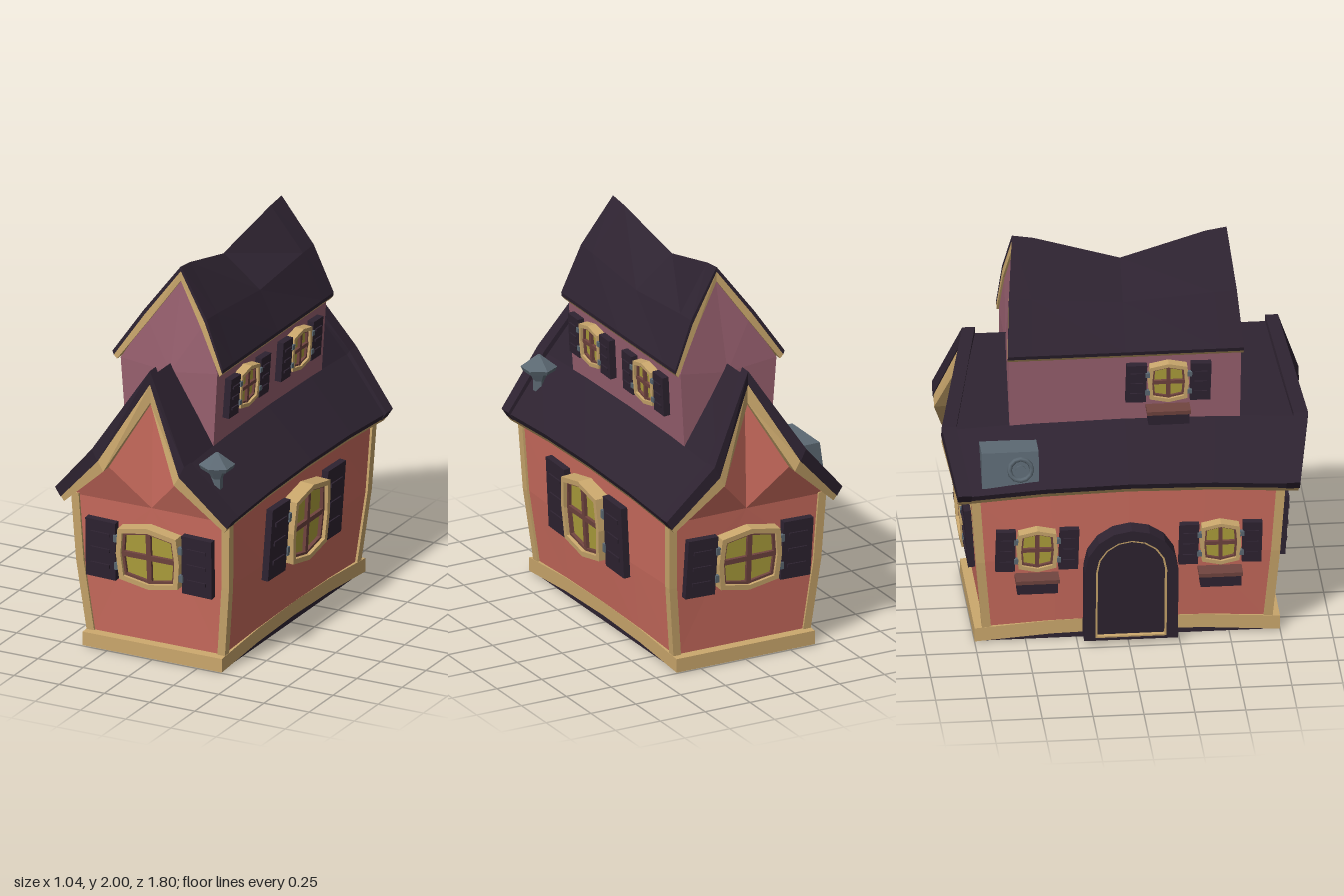
import * as THREE from 'three';

const mat = (name, color) => Object.assign(new THREE.MeshStandardMaterial({ color }), { name });
const M = {
  coral: mat('coral wall', 0xcb6c5e), mauve: mat('mauve wall', 0x98606f),
  dark: mat('dark wood', 0x2e2331), tan: mat('tan trim', 0xcaa76c),
  yellow: mat('yellow glass', 0xaea03c), brown: mat('brown wood', 0x70443f),
  grey: mat('grey metal', 0x5c6973),
};

function mesh(parent, name, geo, material, x = 0, y = 0, z = 0) {
  const m = new THREE.Mesh(geo, material);
  m.name = name;
  m.position.set(x, y, z);
  parent.add(m);
  return m;
}
const box = (p, name, m, w, h, d, x, y, z) => mesh(p, name, new THREE.BoxGeometry(w, h, d), m, x, y, z);
function facet(geo) {
  const g = geo.toNonIndexed();
  g.computeVertexNormals();
  return g;
}

// Faceted skin through matching cross-sections; ends close as a strip, or as a fan to given centres
function loft(sections, centres) {
  const v = [], n = sections[0].length, last = sections.length - 1;
  const tri = (a, b, c) => v.push(...a, ...b, ...c);
  const quad = (a, b, c, d) => { tri(a, b, c); tri(a, c, d); };
  for (let i = 0; i < last; i++) for (let j = 0; j < n; j++) {
    const k = (j + 1) % n, s = sections[i], t = sections[i + 1];
    quad(s[j], s[k], t[k], t[j]);
  }
  const a = sections[0], b = sections[last];
  if (centres) {
    for (let j = 0; j < n; j++) {
      const k = (j + 1) % n;
      tri(centres[0], a[k], a[j]);
      tri(centres[1], b[j], b[k]);
    }
  } else {
    for (let j = 0; j < n / 2 - 1; j++) {
      quad(b[j], b[j + 1], b[n - 2 - j], b[n - 1 - j]);
      quad(a[j + 1], a[j], a[n - 1 - j], a[n - 2 - j]);
    }
  }
  const g = new THREE.BufferGeometry();
  g.setAttribute('position', new THREE.Float32BufferAttribute(v, 3));
  g.computeVertexNormals();
  return g;
}

// Profile points are [x, y, end z, lift at middle, x shift at middle]; steps are [t along z, weight]
const sweep = (profile, steps) => steps.map(([t, w]) =>
  profile.map(([x, y, z, lift = 0, dx = 0]) => [x + dx * w, y + lift * w, z * t]));
const mirror = (half, apex) => [...half, ...(apex ? [apex] : []),
  ...half.map(([x, y, z, l = 0, d = 0]) => [-x, y, z, l, -d]).reverse()];
const shell = (outer, inner, steps) => loft(sweep([...outer, ...[...inner].reverse()], steps));
const arc = [-1, -0.5, 0, 0.5, 1].map(t => [t, 1 - t * t]);
const sag = [[-1, 0], [-0.8, 0.12], [0, 1], [0.8, 0.12], [1, 0]];

// Barrel-shaped outline for the windows
function barrel(w, h, Type = THREE.Shape) {
  const x = w / 2, y = h / 2;
  return new Type([[0, -y], [x * 0.92, -y * 0.82], [x, 0], [x * 0.92, y * 0.82],
    [0, y], [-x * 0.92, y * 0.82], [-x, 0], [-x * 0.92, -y * 0.82]].map(p => new THREE.Vector2(...p)));
}
// Round-topped outline for the door
function arch(w, h, y0, Type = THREE.Shape) {
  const pts = [new THREE.Vector2(-w / 2, y0), new THREE.Vector2(w / 2, y0)], s = h - w / 2;
  for (let i = 0; i <= 8; i++) {
    const a = Math.PI * i / 8;
    pts.push(new THREE.Vector2(Math.cos(a) * w / 2, s + Math.sin(a) * w / 2));
  }
  return new Type(pts);
}
const extrude = (shape, depth) => new THREE.ExtrudeGeometry(shape, { depth, bevelEnabled: false });
function ring(make, outer, inner, depth) {
  const s = make(...outer);
  s.holes.push(make(...inner, THREE.Path));
  return extrude(s, depth);
}
function place(parent, name, x, y, z, yaw, lean) {
  const g = new THREE.Group();
  g.name = name;
  g.position.set(x, y, z);
  g.rotation.set(lean, yaw, 0, 'YXZ');
  parent.add(g);
  return g;
}

function addWindow(parent, name, [x, y, z, yaw, lean], { w, h, d, sw, sh, planter }) {
  const g = place(parent, name, x, y, z, yaw, lean), t = w > 0.3 ? 0.026 : 0.019;
  mesh(g, 'windowFrame', ring(barrel, [w, h], [w - 2 * t, h - 2 * t], d), M.tan);
  mesh(g, 'innerFrame', ring(barrel, [w - 2 * t, h - 2 * t], [w - 3 * t, h - 3 * t], d * 0.75), M.brown);
  mesh(g, 'glass', extrude(barrel(w - 2 * t, h - 2 * t), d * 0.5), M.yellow);
  box(g, 'mullion', M.brown, t, h - 2 * t, 0.02, 0, 0, d * 0.6);
  box(g, 'crossBar', M.brown, w - 2 * t, t, 0.02, 0, 0, d * 0.6);
  for (const s of [-1, 1]) {
    const shutter = place(g, 'shutter', s * (w / 2 + sw / 2 + 0.008), 0, 0.03, 0, 0);
    shutter.rotation.z = -0.025;
    box(shutter, 'shutterBoard', M.dark, sw, sh, 0.035, 0, 0, 0);
    for (const k of [-1, 0, 1]) box(shutter, 'slat', M.dark, sw * 0.62, sh * 0.06, 0.014, 0, k * sh * 0.27, 0.018);
    for (const k of [-1, 1]) box(g, 'hinge', M.grey, 0.022, sh * 0.12, 0.02, s * (w / 2 + 0.004), k * sh * 0.24, 0.045);
  }
  if (planter) {
    const py = -h / 2 - 0.08;
    box(g, 'flowerBox', M.dark, 0.2, 0.06, 0.075, 0, py, 0.04);
    box(g, 'flowerBoxRim', M.brown, 0.215, 0.02, 0.085, 0, py + 0.036, 0.04);
  }
}

export function createModel() {
  const house = new THREE.Group();
  house.name = 'house';

  // Ground floor walls and base
  const wall = mirror([[0.365, 0.04, 0.70, 0.03, 0.015], [0.41, 0.45, 0.735, 0, 0.015],
    [0.425, 0.80, 0.76, 0.04, 0.015], [0.205, 1.02, 0.84, 0.03]], [0, 1.385, 0.74]);
  mesh(house, 'lowerWalls', loft(sweep(wall, arc), [[0, 0.8, -0.755], [0, 0.8, 0.755]]), M.coral);
  mesh(house, 'baseTrim', loft(sweep(mirror([[0.385, 0.004, 0.75, 0.035], [0.385, 0.075, 0.75, 0.035]]), arc)), M.tan);
  box(house, 'floor', M.dark, 0.74, 0.03, 1.46, 0, 0.015, 0);

  // Corner posts follow the leaning walls
  for (const sx of [-1, 1]) for (const sz of [-1, 1]) {
    const post = [[0.36, 0.06, 0.69], [0.402, 0.45, 0.725], [0.417, 0.81, 0.75]].map(([x, y, z]) =>
      [[-1, 1], [1, 1], [1, -1], [-1, -1]].map(([a, b]) => [sx * x + a * 0.021, y, sz * z + b * 0.022]));
    mesh(house, 'cornerPost', loft(post), M.tan);
  }

  // Main roof: dark skin, tan underlayer and raised end rims
  const top = mirror([[0.475, 0.835, 0.835, 0.04, 0.01], [0.24, 1.09, 0.895, 0.03]], [0, 1.495, 0.77]);
  const mid = mirror([[0.46, 0.805, 0.835, 0.04, 0.01], [0.225, 1.055, 0.895, 0.03]], [0, 1.46, 0.77]);
  const low = mirror([[0.443, 0.782, 0.835, 0.04, 0.01], [0.195, 1.005, 0.895, 0.03]], [0, 1.36, 0.77]);
  mesh(house, 'mainRoof', shell(top, mid, arc), M.dark);
  mesh(house, 'mainRoofTrim', shell(mid, low, arc), M.tan);
  const rim = mirror([[0.49, 0.85, 0.84], [0.255, 1.115, 0.9]], [0, 1.53, 0.775]);
  const rimIn = mid.map(([x, y, z]) => [x, y, z + 0.005]);
  mesh(house, 'frontRoofRim', shell(rim, rimIn, [[0.92, 0], [1, 0]]), M.dark);
  mesh(house, 'backRoofRim', shell(rim, rimIn, [[-1, 0], [-0.92, 0]]), M.dark);

  // Upper storey with its sagging, slightly crooked roof
  const upper = [[0.235, 1.0, 0.565], [0.265, 1.49, 0.57], [0.175, 1.72, 0.55, -0.04], [0.04, 1.94, 0.515, -0.125, -0.04],
    [-0.13, 1.705, 0.55, -0.04], [-0.27, 1.48, 0.57], [-0.235, 1.0, 0.565]];
  mesh(house, 'upperWalls', loft(sweep(upper, sag), [[0, 1.45, -0.565], [0, 1.45, 0.565]]), M.mauve);
  const roofLine = pts => pts.map(([x, y], i) => [x, y, [0.58, 0.56, 0.527, 0.56, 0.58][i],
    [0, -0.04, -0.125, -0.04, 0][i], i === 2 ? -0.04 : 0]);
  const uTop = roofLine([[0.30, 1.52], [0.2, 1.76], [0.04, 2.0], [-0.15, 1.745], [-0.31, 1.51]]);
  const uMid = roofLine([[0.297, 1.5], [0.19, 1.742], [0.04, 1.975], [-0.141, 1.728], [-0.303, 1.49]]);
  const uLow = roofLine([[0.282, 1.482], [0.168, 1.712], [0.04, 1.925], [-0.12, 1.698], [-0.285, 1.472]]);
  mesh(house, 'upperRoof', shell(uTop, uMid, sag), M.dark);
  mesh(house, 'upperRoofTrim', shell(uMid, uLow, sag), M.tan);

  // Windows
  const gable = { w: 0.35, h: 0.33, d: 0.06, sw: 0.165, sh: 0.31 };
  addWindow(house, 'frontWindow', [0, 0.55, 0.742, 0, 0.07], gable);
  addWindow(house, 'backWindow', [0, 0.55, -0.742, Math.PI, 0.07], gable);
  addWindow(house, 'leftWindow', [0.425, 0.565, 0.025, Math.PI / 2, 0.06],
    { w: 0.38, h: 0.4, d: 0.075, sw: 0.185, sh: 0.375 });
  for (const z of [-0.45, 0.45])
    addWindow(house, 'rightWindow', [-0.425, 0.53, z, -Math.PI / 2, 0.06],
      { w: 0.2, h: 0.23, d: 0.055, sw: 0.095, sh: 0.22, planter: true });
  const small = { w: 0.2, h: 0.215, d: 0.05, sw: 0.1, sh: 0.205 };
  for (const z of [0.295, -0.25])
    addWindow(house, 'upperLeftWindow', [0.253, 1.34, z, Math.PI / 2, 0.06], small);
  addWindow(house, 'upperRightWindow', [-0.258, 1.335, 0.21, -Math.PI / 2, 0.07], { ...small, planter: true });

  // Arched door on the right side
  const door = place(house, 'door', -0.385, 0.03, 0.01, -Math.PI / 2, 0.09);
  mesh(door, 'doorFrame', ring(arch, [0.46, 0.62, 0], [0.35, 0.565, 0.012], 0.085), M.dark);
  mesh(door, 'doorLiner', ring(arch, [0.35, 0.565, 0.012], [0.33, 0.555, 0.02], 0.08), M.tan);
  mesh(door, 'doorPanel', extrude(arch(0.34, 0.56, 0.015), 0.06), M.dark);

  // Hexagonal chimney pipe with cap
  const chimney = place(house, 'chimney', 0.345, 0, 0.725, 0, 0);
  const tube = (name, r1, r2, h, y) => mesh(chimney, name, facet(new THREE.CylinderGeometry(r1, r2, h, 6)), M.grey, 0, y, 0);
  tube('pipe', 0.028, 0.03, 0.19, 0.955);
  tube('flare', 0.052, 0.028, 0.05, 1.04);
  tube('capBrim', 0.09, 0.08, 0.022, 1.075);
  tube('capTop', 0.012, 0.09, 0.06, 1.115);

  // Vent unit with a round fan on the right roof slope
  const vent = [-0.72, -0.44].map(z => [[-0.295, 0.87, z], [-0.295, 1.05, z], [-0.43, 1.05, z], [-0.455, 0.87, z]]);
  mesh(house, 'ventBox', loft(vent), M.grey);
  const fan = place(house, 'ventFan', -0.444, 0.96, -0.53, -Math.PI / 2, -0.14);
  mesh(fan, 'fanRing', new THREE.TorusGeometry(0.055, 0.012, 6, 12), M.grey);
  mesh(fan, 'fanHub', new THREE.CylinderGeometry(0.025, 0.025, 0.02, 8).rotateX(Math.PI / 2), M.grey);
  return house;
}
